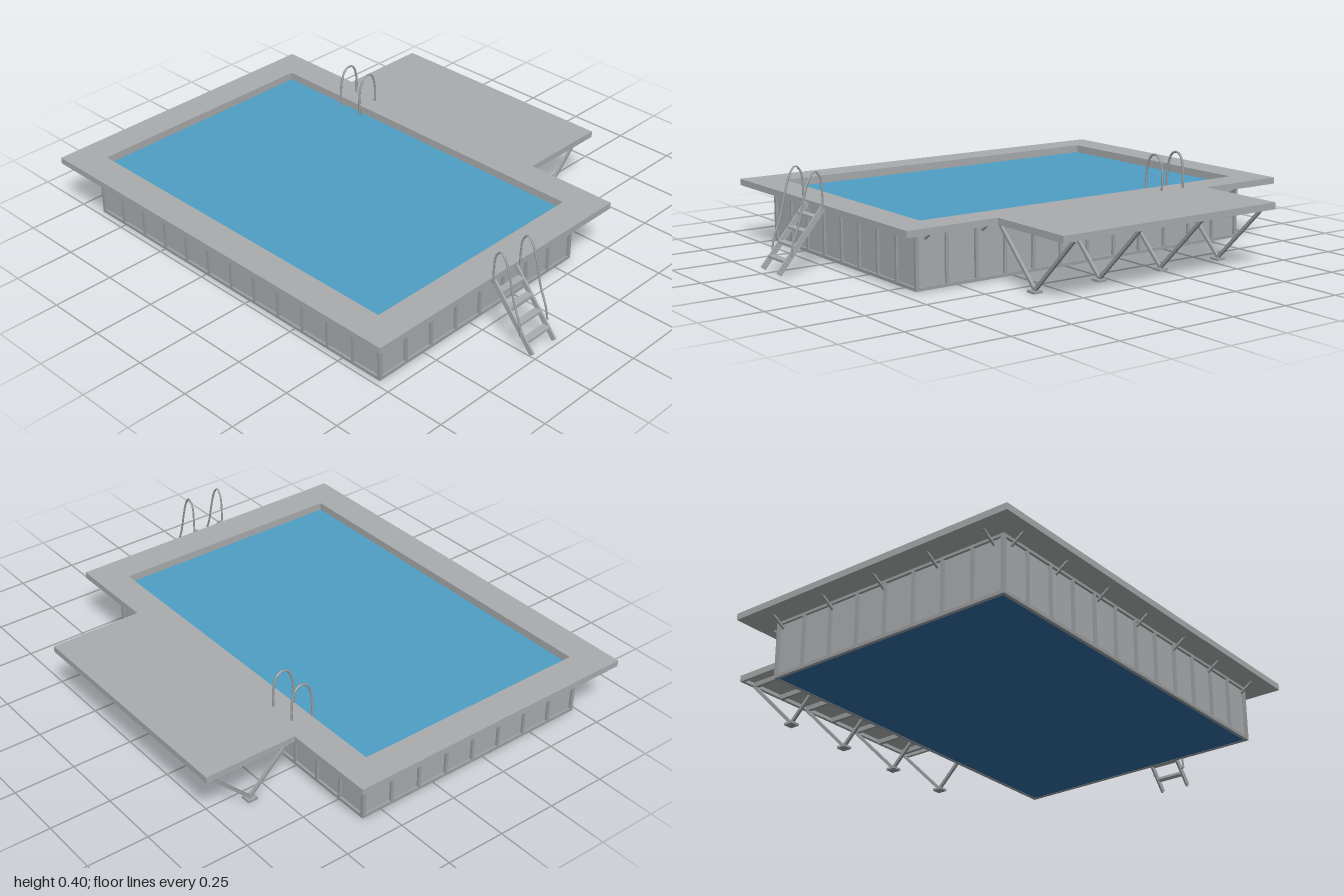
import * as THREE from 'three';

const mat = (name, color) => {
  const m = new THREE.MeshStandardMaterial({ color });
  m.name = name;
  return m;
};

export function createModel() {
  const pool = new THREE.Group();
  pool.name = 'raisedPool';
  const deckGrey = mat('deckGrey', 0xa9abad);
  const steel = mat('steelGrey', 0x9c9ea0);
  const waterBlue = mat('waterBlue', 0x4e9fc4);
  const floorBlue = mat('floorBlue', 0x2f6a9e);

  const add = (name, geo, material, parent = pool) => {
    const m = new THREE.Mesh(geo, material);
    m.name = name;
    parent.add(m);
    return m;
  };
  // box given by its limits on each axis
  const box = (name, x0, x1, y0, y1, z0, z1, material, parent) => {
    const m = add(name, new THREE.BoxGeometry(x1 - x0, y1 - y0, z1 - z0), material, parent);
    m.position.set((x0 + x1) / 2, (y0 + y1) / 2, (z0 + z1) / 2);
    return m;
  };
  // square bar between two points
  const bar = (name, a, b, w, h, material, parent) => {
    const p = new THREE.Vector3(...a), q = new THREE.Vector3(...b);
    const m = add(name, new THREE.BoxGeometry(w, h, p.distanceTo(q)), material, parent);
    m.position.copy(p).add(q).multiplyScalar(0.5);
    m.lookAt(q);
    return m;
  };
  const tube = (name, pts, r, parent) => {
    const curve = new THREE.CatmullRomCurve3(pts.map(p => new THREE.Vector3(...p)));
    return add(name, new THREE.TubeGeometry(curve, 40, r, 8), steel, parent);
  };

  const X0 = -0.73, X1 = 0.34, Z0 = -0.89, Z1 = 0.69; // outside of the walls
  const TOP = 0.257, UNDER = 0.231;

  // Walkway around the basin
  const outline = new THREE.Shape([[-0.83, -0.79], [0.44, -0.79], [0.44, 1], [-0.83, 1]]
    .map(p => new THREE.Vector2(...p)));
  outline.holes.push(new THREE.Path([[-0.70, -0.655], [-0.70, 0.87], [0.315, 0.87], [0.315, -0.655]]
    .map(p => new THREE.Vector2(...p))));
  const ring = new THREE.ExtrudeGeometry(outline, { depth: TOP - UNDER, bevelEnabled: false });
  ring.rotateX(-Math.PI / 2);
  add('walkway', ring, deckGrey).position.y = UNDER;

  // Basin: floor, wall panels and water surface
  box('floor', X0 + 0.012, X1 - 0.012, 0.004, 0.012, Z0 + 0.012, Z1 - 0.012, floorBlue);
  const walls = new THREE.Group();
  walls.name = 'walls';
  pool.add(walls);
  const R = 0.01; // rib projection
  box('leftPanel', X1 - 0.025, X1 - R, 0.008, UNDER, Z0 + R, Z1 - R, deckGrey, walls);
  box('rightPanel', X0 + R, X0 + 0.03, 0.008, UNDER, Z0 + R, Z1 - R, deckGrey, walls);
  box('frontPanel', X0 + R, X1 - R, 0.008, UNDER, Z1 - 0.035, Z1 - R, deckGrey, walls);
  box('backPanel', X0 + R, X1 - R, 0.008, UNDER, Z0 + R, Z0 + 0.02, deckGrey, walls);
  box('water', -0.705, 0.32, 0.219, 0.225, -0.875, 0.66, waterBlue);

  // Bottom and top rails of the wall frames
  for (const [y0, y1] of [[0.003, 0.016], [0.22, UNDER]]) {
    for (const [a, b] of [[X0, X0 + 0.014], [X1 - 0.014, X1]])
      box('wallRail', a, b, y0, y1, Z0, Z1, steel, walls);
    for (const [a, b] of [[Z0, Z0 + 0.014], [Z1 - 0.014, Z1]])
      box('wallRail', X0, X1, y0, y1, a, b, steel, walls);
  }

  // Vertical ribs
  const W = 0.006;
  for (let i = 0; i <= 8; i++) {
    const x = X0 + W + (X1 - X0 - 2 * W) * i / 8;
    box('rib', x - W, x + W, 0.004, UNDER, Z1 - 0.014, Z1, steel, walls);
    box('rib', x - W, x + W, 0.004, UNDER, Z0, Z0 + 0.014, steel, walls);
  }
  for (let i = 0; i <= 12; i++) {
    const z = Z0 + W + (Z1 - Z0 - 2 * W) * i / 12;
    box('rib', X0, X0 + 0.014, 0.004, UNDER, z - W, z + W, steel, walls);
    box('rib', X1 - 0.014, X1, 0.004, UNDER, z - W, z + W, steel, walls);
  }

  // Slanted brackets carrying the walkway
  const brackets = new THREE.Group();
  brackets.name = 'walkwayBrackets';
  pool.add(brackets);
  for (let i = 0; i < 5; i++) {
    const x = -0.69 + i * 0.248;
    bar('bracket', [x, 0.195, Z1], [x, 0.233, Z1 + 0.06], 0.008, 0.008, steel, brackets);
    bar('bracket', [x, 0.195, Z0], [x, 0.233, Z0 - 0.06], 0.008, 0.008, steel, brackets);
  }
  for (let i = 0; i < 7; i++) {
    const z = -0.85 + i * 0.25;
    bar('bracket', [X0, 0.195, z], [X0 - 0.055, 0.233, z], 0.008, 0.008, steel, brackets);
    bar('bracket', [X1, 0.195, z], [X1 + 0.055, 0.233, z], 0.008, 0.008, steel, brackets);
  }

  // Side platform: thin board, edge frame and joists
  const platform = new THREE.Group();
  platform.name = 'sidePlatform';
  pool.add(platform);
  box('platformBoard', 0.44, 0.825, 0.245, TOP, -0.62, 0.40, deckGrey, platform);
  box('platformEdge', 0.811, 0.825, UNDER, 0.245, -0.62, 0.40, deckGrey, platform);
  for (const [a, b] of [[-0.62, -0.606], [0.386, 0.40]])
    box('platformEdge', 0.44, 0.811, UNDER, 0.245, a, b, deckGrey, platform);
  for (let i = 0; i < 7; i++) {
    const z = -0.55 + i * 0.149;
    box('joist', 0.36, 0.811, 0.225, 0.245, z - 0.008, z + 0.008, steel, platform);
  }

  // V-shaped supports with foot plates
  for (let i = 0; i < 4; i++) {
    const z = -0.55 + i * 0.298;
    bar('supportStrut', [0.36, 0.232, z], [0.59, 0.01, z], 0.012, 0.012, steel, platform);
    bar('supportStrut', [0.815, 0.232, z], [0.59, 0.01, z], 0.012, 0.012, steel, platform);
    box('footPlate', 0.568, 0.61, 0, 0.009, z - 0.02, z + 0.02, steel, platform);
  }

  // Entry ladder with treads and curved handrails
  const ladder = new THREE.Group();
  ladder.name = 'entryLadder';
  pool.add(ladder);
  for (const [x, railX] of [[-0.256, -0.268], [-0.132, -0.12]]) {
    bar('ladderSide', [x, 0.018, 0.991], [x, 0.25, 0.797], 0.008, 0.022, deckGrey, ladder);
    tube('handrail', [[railX, 0.08, 0.945], [railX, 0.13, 0.935], [railX, 0.21, 0.905],
      [railX, 0.30, 0.883], [railX, 0.365, 0.862], [railX, 0.394, 0.838], [railX, 0.37, 0.815],
      [railX, 0.31, 0.807], [railX, 0.25, 0.806]], 0.004, ladder);
    for (const [y, z] of [[0.083, 0.94], [0.25, 0.803]])
      bar('handrailFixing', [railX, y, z], [x, y, z], 0.008, 0.008, steel, ladder);
  }
  for (let i = 0; i < 4; i++) {
    const y = 0.062 + i * 0.051, z = 0.955 - i * 0.0425;
    box('tread', -0.254, -0.134, y - 0.005, y + 0.005, z - 0.015, z + 0.015, deckGrey, ladder);
  }

  // Pair of arched grab rails over the pool edge
  for (const z of [-0.54, -0.43])
    tube('grabRail', [[0.295, 0.222, z], [0.296, 0.29, z], [0.303, 0.345, z], [0.322, 0.385, z],
      [0.347, 0.396, z], [0.372, 0.385, z], [0.387, 0.345, z], [0.391, 0.30, z], [0.389, 0.252, z]], 0.0045);

  return pool;
}
